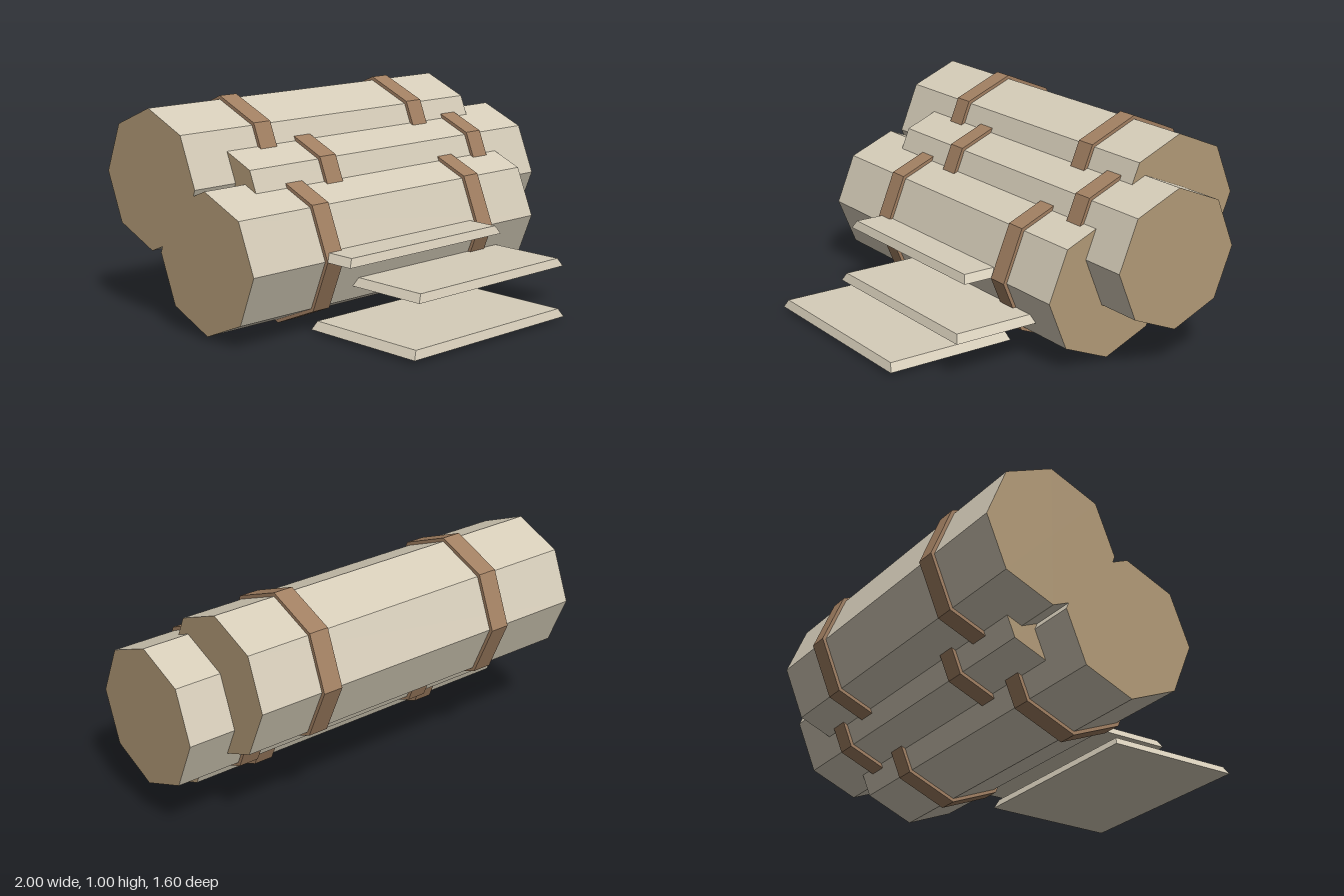
import * as THREE from 'three';

const mat = (name, color) => {
  const m = new THREE.MeshStandardMaterial({ color });
  m.name = name;
  return m;
};

// Faceted normals
function faceted(geometry) {
  const g = geometry.toNonIndexed();
  g.computeVertexNormals();
  return g;
}

// Octagonal prism along x, with an edge pointing straight up
function octagon(radius, x0, x1) {
  const g = new THREE.CylinderGeometry(radius, radius, x1 - x0, 8);
  g.rotateZ(Math.PI / 2);
  g.translate((x0 + x1) / 2, 0, 0);
  return faceted(g);
}

export function createModel() {
  const bark = mat('pale bark', 0xd6cdb9);
  const wood = mat('cut wood', 0xb29a77);
  const strap = mat('brown strap', 0xa28062);

  const model = new THREE.Group();
  model.name = 'logPile';

  const add = (parent, name, geometry, material) => {
    const mesh = new THREE.Mesh(geometry, material);
    mesh.name = name;
    parent.add(mesh);
    return mesh;
  };

  // Three stacked logs, each with cut ends and two bands
  const logs = [
    { name: 'lowerLog', y: 0.341, z: -0.072, x: -1 },
    { name: 'middleLog', y: 0.503, z: -0.267, x: -0.775 },
    { name: 'upperLog', y: 0.66, z: -0.461, x: -1 },
  ];
  for (const { name, y, z, x } of logs) {
    const log = new THREE.Group();
    log.name = name;
    log.position.set(0, y, z);
    add(log, 'trunk', octagon(0.323, x, x + 1.775), [bark, wood, wood]);
    // The middle log's bands sit at their own spacing
    const starts = name === 'middleLog' ? [-0.375, 0.595] : [-0.598, 0.37];
    for (const s of starts) add(log, 'band', octagon(0.34, s, s + 0.096), strap);
    model.add(log);
  }

  // Stepped planks with sloping edges, running back into the logs
  const planks = [
    { x: -0.115, y: 0.017, z: 0.478 },
    { x: 0.11, y: 0.18, z: 0.283 },
    { x: -0.115, y: 0.341, z: 0.088 },
  ];
  for (const { x, y, z } of planks) {
    const g = new THREE.BoxGeometry(0.966, 0.038, 0.643);
    const p = g.attributes.position;
    for (let i = 0; i < p.count; i++) {
      if (p.getY(i) > 0) {
        p.setX(i, p.getX(i) - Math.sign(p.getX(i)) * 0.023);
        p.setZ(i, p.getZ(i) - Math.sign(p.getZ(i)) * 0.015);
      }
    }
    add(model, 'plank', faceted(g), bark).position.set(x, y + 0.019, z);
  }
  return model;
}
